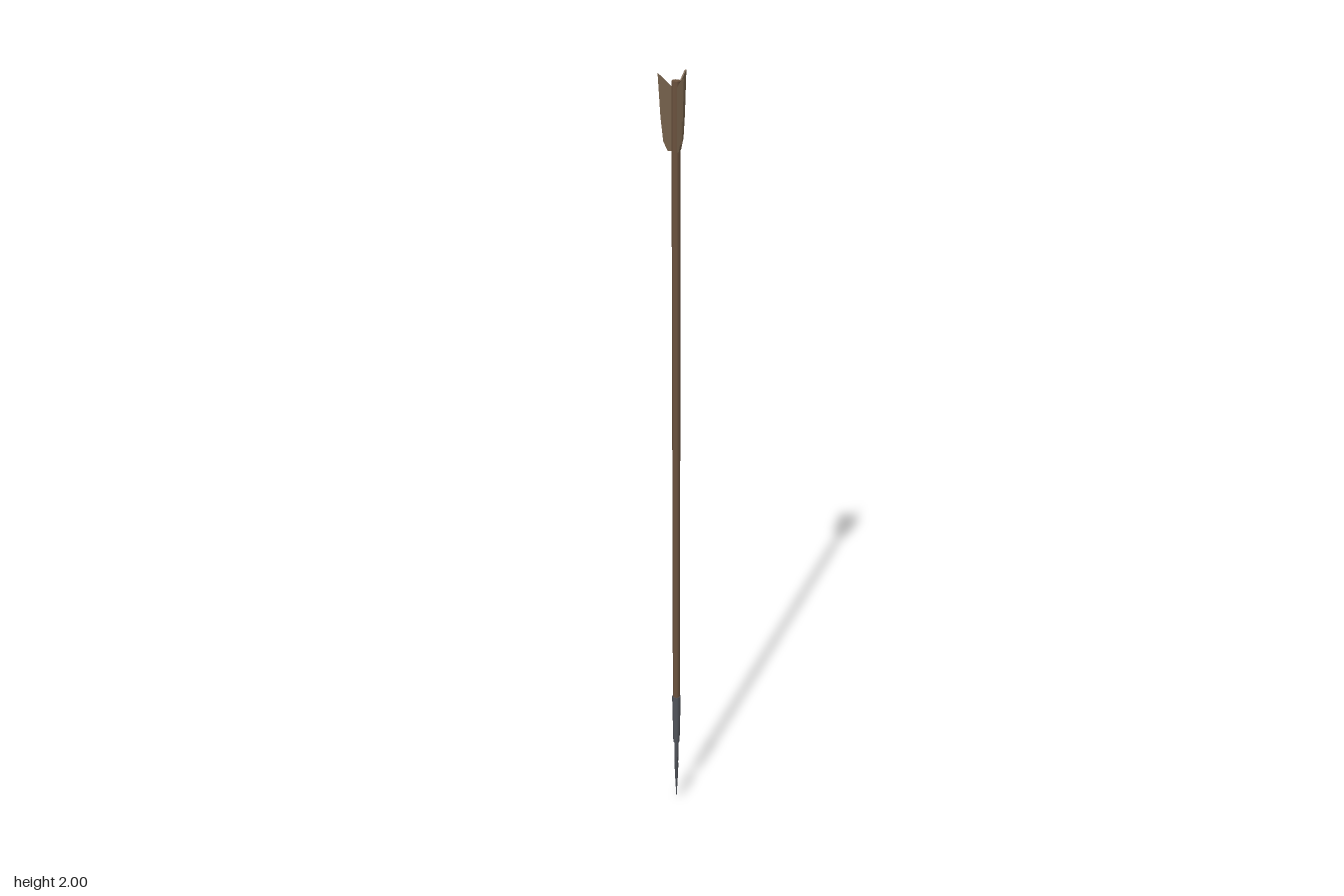
import * as THREE from 'three';

const wood = new THREE.MeshStandardMaterial({ color: 0x6c533f });
wood.name = 'shaftWood';
const feather = new THREE.MeshStandardMaterial({ color: 0x75604a });
feather.name = 'featherBrown';
const steel = new THREE.MeshStandardMaterial({ color: 0x53565d });
steel.name = 'darkSteel';

function addPart(parent, name, geometry, material) {
  const mesh = new THREE.Mesh(geometry, material);
  mesh.name = name;
  parent.add(mesh);
  return mesh;
}

// Capped round rod between two heights, smooth along its side
function rod(bottom, top, bottomRadius, topRadius) {
  return new THREE.CylinderGeometry(topRadius, bottomRadius, top - bottom, 8)
    .translate(0, (top + bottom) / 2, 0);
}

export function createModel() {
  const model = new THREE.Group();
  model.name = 'arrow';

  // Everything sits on one axis that leans slightly backwards
  const arrow = new THREE.Group();
  arrow.name = 'arrowAxis';
  arrow.position.set(0.005, 0, 0.012);
  arrow.rotation.x = -0.008;
  model.add(arrow);

  // Wooden shaft
  addPart(arrow, 'shaft', rod(0.31, 1.985, 0.0095, 0.0105), wood);

  // Steel socket gripping the shaft, tapering into a thin neck
  addPart(arrow, 'socket', rod(0.19, 0.335, 0.0085, 0.0115), steel);
  addPart(arrow, 'neck', rod(0.11, 0.19, 0.0045, 0.006), steel);

  // Flat diamond-section blade, wide along z, with faceted sides
  const profile = [[0, 0], [0.016, 0.08], [0.021, 0.115], [0.016, 0.13], [0.005, 0.152], [0, 0.154]];
  const bladeGeometry = new THREE.LatheGeometry(
    profile.map(([r, y]) => new THREE.Vector2(r, y)), 4).toNonIndexed();
  bladeGeometry.scale(0.25, 1, 1);
  bladeGeometry.computeVertexNormals();
  addPart(arrow, 'blade', bladeGeometry, steel);

  // Three swept-back feather vanes
  const outline = [[0.004, 1.822], [0.019, 1.822], [0.029, 1.845], [0.035, 1.9],
    [0.041, 2.0], [0.036, 1.996], [0.011, 1.972], [0.004, 1.972]];
  const shape = new THREE.Shape(outline.map(([x, y]) => new THREE.Vector2(x, y)));
  const vane = new THREE.ExtrudeGeometry(shape, { depth: 0.004, bevelEnabled: false });
  vane.translate(0, 0, -0.002);
  [77, 195, 311].forEach((degrees, i) => {
    const mesh = addPart(arrow, `vane${i + 1}`, vane, feather);
    mesh.rotation.y = -THREE.MathUtils.degToRad(degrees);
  });

  return model;
}
